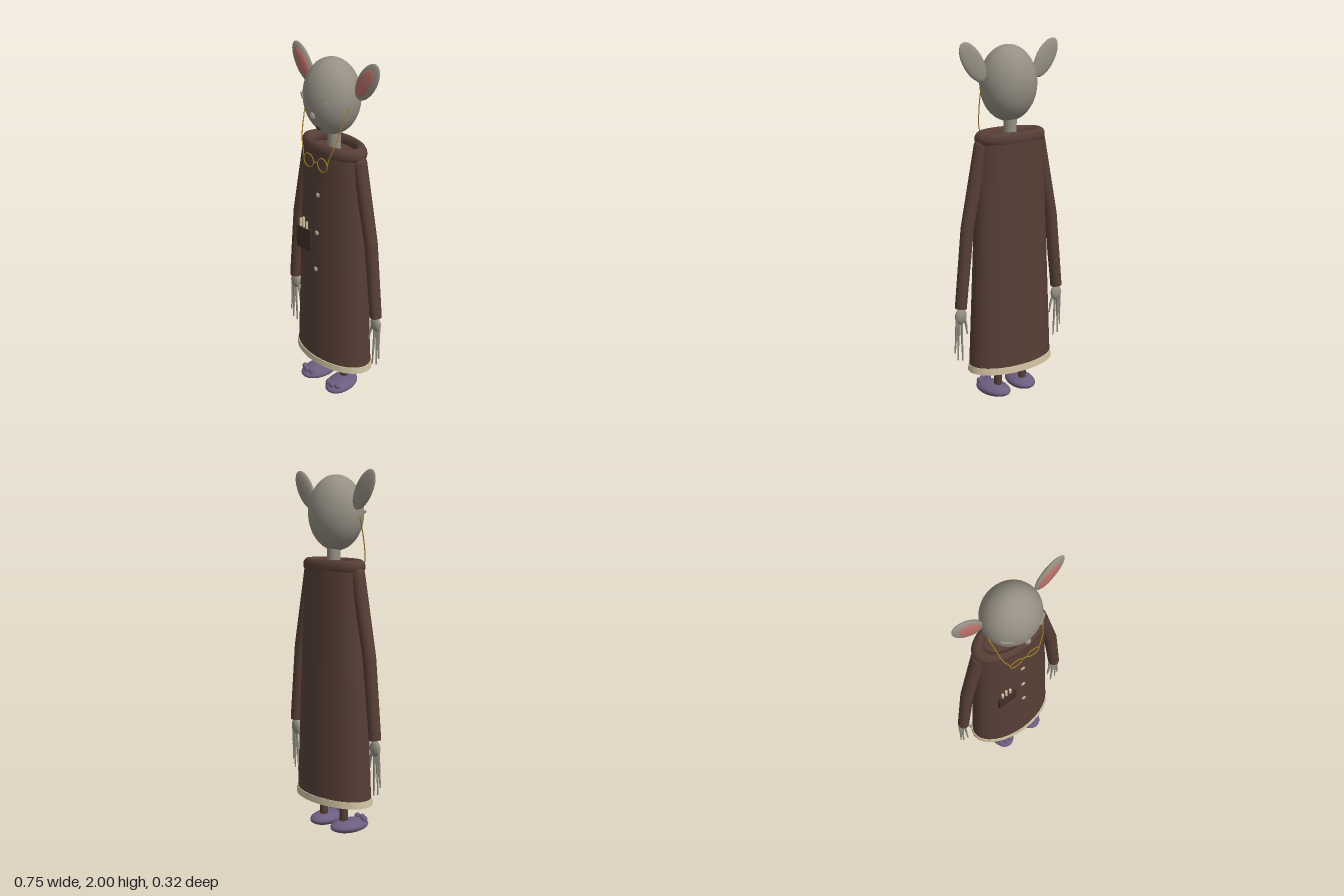
import * as THREE from 'three';

const mat = (name, color, side = THREE.FrontSide) => {
  const m = new THREE.MeshStandardMaterial({ color, side });
  m.name = name;
  return m;
};

export function createModel() {
  const skin = mat('greySkin', 0x969084);
  const pink = mat('earPink', 0xb9716a);
  const coat = mat('brownCoat', 0x573f36, THREE.DoubleSide);
  const pocketBrown = mat('darkPocket', 0x432f28);
  const cream = mat('creamTrim', 0xd2c4a4, THREE.DoubleSide);
  const purple = mat('slipperPurple', 0x6d5d80);
  const gold = mat('goldChain', 0xa5852c);
  const dark = mat('mouthDark', 0x3d3632);
  const buttonGrey = mat('buttonGrey', 0xb5ada0);

  const root = new THREE.Group();
  root.name = 'robedFigure';
  const body = new THREE.Group();
  body.name = 'body';
  body.position.z = -0.008;
  root.add(body);
  const up = new THREE.Vector3(0, 1, 0);

  const add = (name, geo, material, pos = [0, 0, 0], parent = body) => {
    const m = new THREE.Mesh(geo, material);
    m.name = name;
    m.position.set(...pos);
    parent.add(m);
    return m;
  };
  const ball = (name, material, pos, radii, parent = body, n = 24) => {
    const m = add(name, new THREE.SphereGeometry(1, n, Math.ceil(n * 0.7)), material, pos, parent);
    m.scale.set(...radii);
    return m;
  };
  // tapered cylinder between two points
  const rod = (name, material, a, b, ra, rb, parent = body, n = 16) => {
    const p = new THREE.Vector3(...a), q = new THREE.Vector3(...b);
    const d = q.clone().sub(p);
    const m = add(name, new THREE.CylinderGeometry(rb, ra, d.length(), n), material,
      p.clone().add(q).multiplyScalar(0.5).toArray(), parent);
    m.quaternion.setFromUnitVectors(up, d.normalize());
    return m;
  };

  // Head and face
  ball('head', skin, [0, 1.775, 0.016], [0.16, 0.203, 0.145], body, 40);
  rod('neck', skin, [0, 1.46, 0], [0, 1.62, 0], 0.036, 0.036);
  ball('nose', skin, [0, 1.697, 0.152], [0.017, 0.021, 0.015]);
  ball('mouth', dark, [0, 1.625, 0.113], [0.017, 0.012, 0.009]);

  // Robe: elliptical, open below, with lid and padded collar
  const DEPTH = 0.55;
  const robe = add('robe', new THREE.CylinderGeometry(0.207, 0.265, 1.27, 32, 1, true), coat, [0, 0.845, 0]);
  robe.scale.z = DEPTH;
  const lid = add('robeTop', new THREE.CircleGeometry(0.205, 32), coat, [0, 1.48, 0]);
  lid.rotation.x = -Math.PI / 2;
  lid.scale.y = DEPTH;
  const collar = add('collar', new THREE.TorusGeometry(0.182, 0.038, 14, 40), coat, [0, 1.492, 0]);
  collar.rotation.x = Math.PI / 2;
  collar.scale.y = 0.53;
  const hem = add('hemTrim', new THREE.LatheGeometry([
    [0.258, 0.187], [0.274, 0.187], [0.274, 0.187], [0.27, 0.224], [0.27, 0.224], [0.258, 0.224],
  ].map(([x, y]) => new THREE.Vector2(x, y)), 24), cream);
  hem.scale.z = 0.56;

  // Buttons down the front
  for (const [y, z] of [[1.243, 0.12], [1.02, 0.13], [0.8, 0.14]]) {
    ball('button', buttonGrey, [0, y, z], [0.014, 0.014, 0.007], body, 16);
  }

  // Chest pocket with three sticks
  add('pocket', new THREE.BoxGeometry(0.114, 0.13, 0.016), pocketBrown, [-0.106, 0.95, 0.126]);
  for (const [x, top] of [[-0.135, 1.06], [-0.112, 1.075], [-0.085, 1.056]]) {
    rod('pocketStick', cream, [x, 0.95, 0.126], [x, top, 0.126], 0.0075, 0.0075, body, 10);
  }

  // Hanging spectacles bridge
  rod('spectacleBridge', gold, [-0.016, 1.437, 0.135], [0.016, 1.437, 0.135], 0.003, 0.003, body, 6);

  // Paired parts
  for (const s of [1, -1]) {
    const side = s > 0 ? 'left' : 'right';

    // Ear: flattened ellipsoid leaning outward, pink inside
    const ear = new THREE.Group();
    ear.name = side + 'Ear';
    ear.position.set(s * 0.237, 1.897, 0);
    ear.rotation.z = -s * 0.61;
    body.add(ear);
    ball('earShell', skin, [0, 0, 0], [0.06, 0.12, 0.018], ear, 28);
    ball('earInner', pink, [-s * 0.003, -0.008, 0.01], [0.042, 0.092, 0.012], ear, 28);

    // Closed eyelid
    const eye = add(side + 'Eye', new THREE.BoxGeometry(0.062, 0.012, 0.012), skin, [s * 0.103, 1.779, 0.128]);
    eye.rotation.set(0, s * 0.6, s * 0.12, 'ZYX');

    // Sleeve: bent at the elbow
    const shoulder = [s * 0.192, 1.455, 0], elbow = [s * 0.285, 1.02, 0], wrist = [s * 0.333, 0.58, 0];
    ball(side + 'Shoulder', coat, shoulder, [0.039, 0.039, 0.039]);
    rod(side + 'UpperSleeve', coat, shoulder, elbow, 0.039, 0.036);
    ball(side + 'Elbow', coat, elbow, [0.036, 0.036, 0.036]);
    rod(side + 'LowerSleeve', coat, elbow, wrist, 0.036, 0.033);

    // Hand with thin jointed fingers
    const hand = new THREE.Group();
    hand.name = side + 'Hand';
    body.add(hand);
    ball('palm', skin, [s * 0.333, 0.535, 0], [0.036, 0.046, 0.02], hand);
    const fingers = [[0.36, 0.363, 0.37, 0.325], [0.345, 0.349, 0.352, 0.28],
      [0.328, 0.325, 0.32, 0.27], [0.31, 0.296, 0.289, 0.42]];
    for (const [x0, x1, x2, yEnd] of fingers) {
      const mid = [s * x1, (0.52 + yEnd) / 2, 0.004];
      rod('fingerBase', skin, [s * x0, 0.52, 0], mid, 0.008, 0.0065, hand, 8);
      ball('knuckle', skin, mid, [0.0075, 0.0075, 0.0075], hand, 8);
      rod('fingerTip', skin, mid, [s * x2, yEnd, 0.006], 0.006, 0.004, hand, 8);
    }

    // Leg and slipper with three bobbles
    rod(side + 'Leg', coat, [s * 0.085, 0.05, 0], [s * 0.085, 0.4, 0], 0.023, 0.026);
    const foot = new THREE.Group();
    foot.name = side + 'Slipper';
    foot.position.set(s * 0.096, 0.037, 0.032);
    foot.rotation.y = s * 0.15;
    body.add(foot);
    ball('sole', purple, [0, 0, 0], [0.077, 0.037, 0.118], foot, 28);
    for (const x of [-0.033, 0, 0.033]) {
      ball('bobble', purple, [x, 0.03, 0.088 - Math.abs(x) * 0.3], [0.018, 0.018, 0.018], foot, 14);
    }

    // Spectacle chain from the temple down to a hanging rim
    const path = new THREE.CatmullRomCurve3([
      [0.158, 1.755, 0.045], [0.142, 1.65, 0.085], [0.122, 1.54, 0.118], [0.097, 1.475, 0.132], [0.09, 1.44, 0.135],
    ].map(([x, y, z]) => new THREE.Vector3(s * x, y, z)));
    add(side + 'Chain', new THREE.TubeGeometry(path, 32, 0.003, 6), gold);
    add(side + 'SpectacleRim', new THREE.TorusGeometry(0.037, 0.0028, 6, 28), gold, [s * 0.053, 1.435, 0.135]);
  }
  return root;
}
